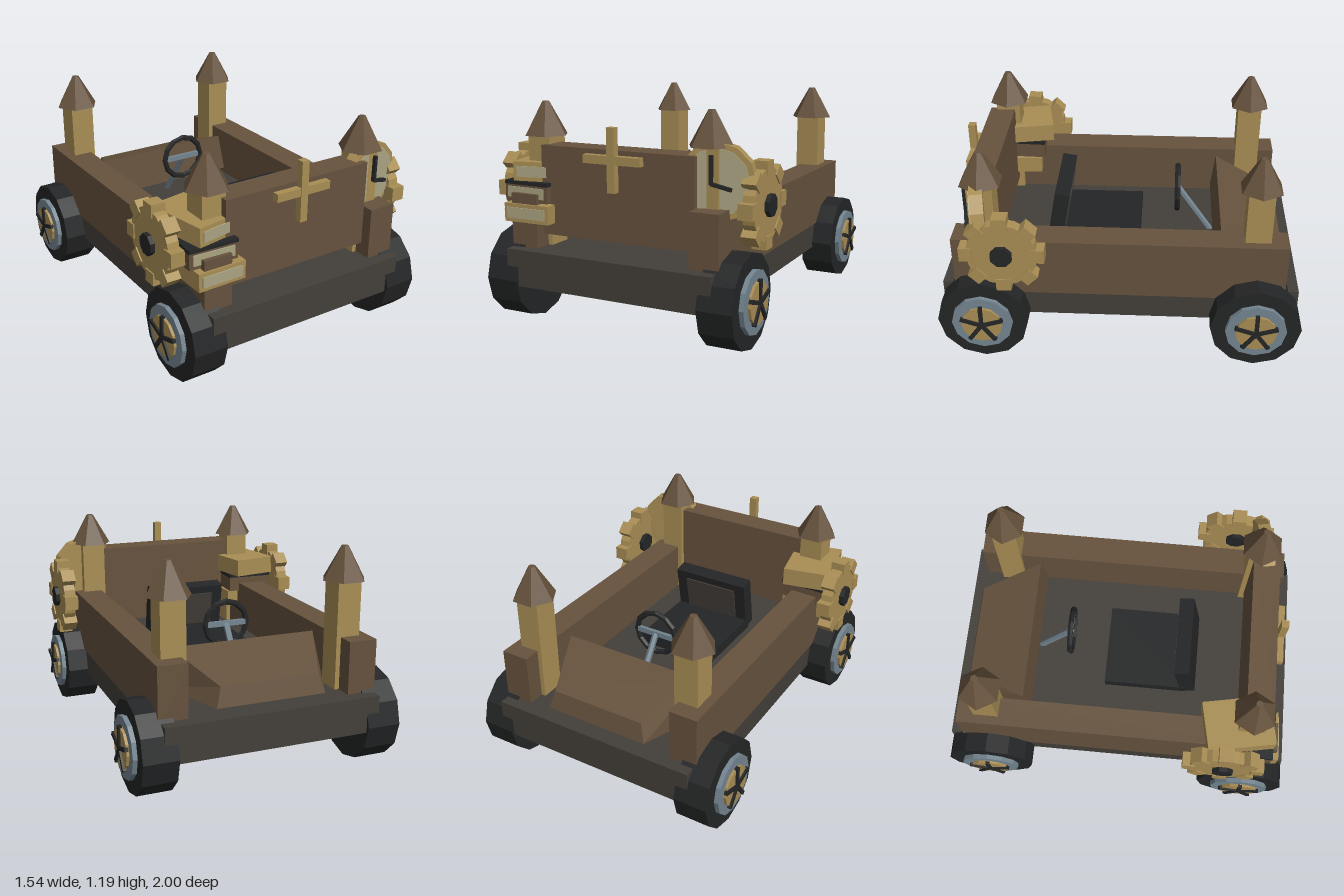
import * as THREE from 'three';

const mat = (name, color) => {
  const m = new THREE.MeshStandardMaterial({ color, flatShading: true });
  m.name = name;
  return m;
};

export function createModel() {
  const brown = mat('brown wood', 0x66523d);
  const dark = mat('dark chassis', 0x433f3a);
  const gold = mat('old gold', 0xa98e55);
  const black = mat('black', 0x242526);
  const steel = mat('blue steel', 0x748590);
  const pale = mat('pale parchment', 0xaba482);

  const root = new THREE.Group();
  root.name = 'car';

  const add = (parent, name, geo, material, x = 0, y = 0, z = 0) => {
    const m = new THREE.Mesh(geo, material);
    m.name = name;
    m.position.set(x, y, z);
    parent.add(m);
    return m;
  };
  // box given by its minimum and maximum corners
  const span = (parent, name, material, x0, x1, y0, y1, z0, z1) =>
    add(parent, name, new THREE.BoxGeometry(x1 - x0, y1 - y0, z1 - z0), material,
      (x0 + x1) / 2, (y0 + y1) / 2, (z0 + z1) / 2);
  // disc whose axis is z
  const disc = (r, depth, sides) => new THREE.CylinderGeometry(r, r, depth, sides).rotateX(Math.PI / 2);
  const group = (name, x, y, z, ry = 0) => {
    const g = new THREE.Group();
    g.name = name;
    g.position.set(x, y, z);
    g.rotation.y = ry;
    root.add(g);
    return g;
  };

  // Body
  span(root, 'chassis', dark, -0.6, 0.6, 0.22, 0.42, -0.98, 0.98);
  span(root, 'endPanel', brown, -0.45, 0.45, 0.49, 0.97, 0.70, 0.85);
  for (const s of [-1, 1]) {
    const a = s * 0.45, b = s * 0.61;
    span(root, 'sideWall', brown, Math.min(a, b), Math.max(a, b), 0.37, 0.71, -0.905, 0.91);
  }

  // Cross on the end panel
  span(root, 'crossUpright', gold, -0.022, 0.022, 0.755, 1.09, 0.852, 0.892);
  span(root, 'crossArm', gold, -0.167, 0.167, 0.90, 0.945, 0.85, 0.888);

  // Hood: a box whose corners are moved to a tapered, sloping wedge
  const hoodGeo = new THREE.BoxGeometry(2, 2, 2);
  const p = hoodGeo.attributes.position;
  for (let i = 0; i < p.count; i++) {
    const top = p.getY(i) > 0, inner = p.getZ(i) > 0;
    const halfWidth = inner ? (top ? 0.42 : 0.45) : (top ? 0.275 : 0.305);
    const y = top ? (inner ? 0.68 : 0.56) : 0.455;
    const z = inner ? (top ? -0.55 : -0.525) : (top ? -0.895 : -0.92);
    p.setXYZ(i, Math.sign(p.getX(i)) * halfWidth, y, z);
  }
  hoodGeo.computeVertexNormals();
  add(root, 'hood', hoodGeo, brown);

  // Corner towers
  for (const sx of [-1, 1]) for (const sz of [-1, 1]) {
    const t = group('tower', sx * 0.492, 0, sz * 0.74);
    add(t, 'towerPost', new THREE.BoxGeometry(0.136, 0.6, 0.14), gold, 0, 0.72, 0);
    add(t, 'towerRoof', new THREE.CylinderGeometry(0.02, 0.123, 0.18, 6).rotateY(Math.PI / 2), brown, 0, 1.1, 0);
  }

  // Wheels, built facing +z and then turned outwards
  for (const sx of [-1, 1]) for (const sz of [-1, 1]) {
    const w = group('wheel', sx * 0.625, 0.25, sz * 0.75, sx * Math.PI / 2);
    add(w, 'tyre', disc(0.25, 0.19, 12), black);
    add(w, 'rim', disc(0.168, 0.03, 12), steel, 0, 0, 0.105);
    add(w, 'hubDisc', disc(0.113, 0.03, 12), gold, 0, 0, 0.12);
    for (let i = 0; i < 5; i++) {
      const spoke = new THREE.BoxGeometry(0.022, 0.122, 0.02).translate(0, 0.061, 0).rotateZ(i * Math.PI * 0.4);
      add(w, 'spoke', spoke, black, 0, 0, 0.136);
    }
  }

  // Side gears
  for (const sx of [-1, 1]) {
    const g = group('gear', sx * 0.712, 0.715, 0.61, sx * Math.PI / 2);
    add(g, 'gearDisc', disc(0.19, 0.065, 16), gold);
    add(g, 'gearHub', disc(0.06, 0.115, 8), black).rotation.z = Math.PI / 8;
    for (let i = 0; i < 8; i++) {
      const tooth = new THREE.BoxGeometry(0.08, 0.07, 0.08).translate(0, 0.19, 0).rotateZ(i * Math.PI / 4);
      add(g, 'gearTooth', tooth, gold);
    }
  }

  // Seat
  span(root, 'seatCushion', black, -0.235, 0.235, 0.455, 0.52, -0.1, 0.38);
  const back = group('seatBack', 0, 0.622, 0.37);
  back.rotation.x = -0.17;
  add(back, 'backrest', new THREE.BoxGeometry(0.465, 0.31, 0.085), black);
  add(back, 'backrestPad', new THREE.BoxGeometry(0.33, 0.2, 0.009), dark, 0, 0.01, -0.046);

  // Steering wheel and column
  add(root, 'steeringWheel', new THREE.TorusGeometry(0.125, 0.017, 6, 12), black, 0, 0.705, -0.31);
  add(root, 'steeringBar', new THREE.BoxGeometry(0.23, 0.03, 0.02), steel, 0, 0.705, -0.315);
  const column = add(root, 'steeringColumn', new THREE.CylinderGeometry(0.018, 0.018, 0.35, 6), steel, 0, 0.56, -0.413);
  column.rotation.x = Math.atan2(0.195, 0.285);

  // Stack of boxes with pale labels
  const boxes = [
    ['lowerBox', gold, -0.515, 0.605, 0.735, 0.10, 0.37, 0.02],
    ['middleBox', brown, -0.53, 0.71, 0.70, 0.10, 0.36, -0.04],
    ['upperBox', gold, -0.515, 0.822, 0.672, 0.105, 0.37, 0.19],
  ];
  for (const [name, material, x, y, z, h, d, ry] of boxes) {
    const b = group(name, x, y, z, ry);
    add(b, name + 'Body', new THREE.BoxGeometry(0.275, h, d), material);
    add(b, name + 'Label', new THREE.BoxGeometry(0.235, 0.058, 0.008), pale, 0, 0, d / 2 + 0.003);
    if (material === brown) add(b, 'middleBoxLid', new THREE.BoxGeometry(0.28, 0.02, d + 0.005), black, 0, 0.05, 0);
  }

  // Clock behind the corner tower
  const c = group('clock', 0.535, 0.842, 0.76, 0.2);
  add(c, 'clockCase', disc(0.2, 0.07, 12), gold);
  add(c, 'clockFace', disc(0.172, 0.009, 12), pale, 0, 0, 0.037);
  add(c, 'minuteHand', new THREE.BoxGeometry(0.018, 0.145, 0.02), black, -0.02, 0.065, 0.063);
  add(c, 'hourHand', new THREE.BoxGeometry(0.11, 0.018, 0.02), black, 0.03, -0.017, 0.063).rotation.z = -0.25;

  return root;
}
